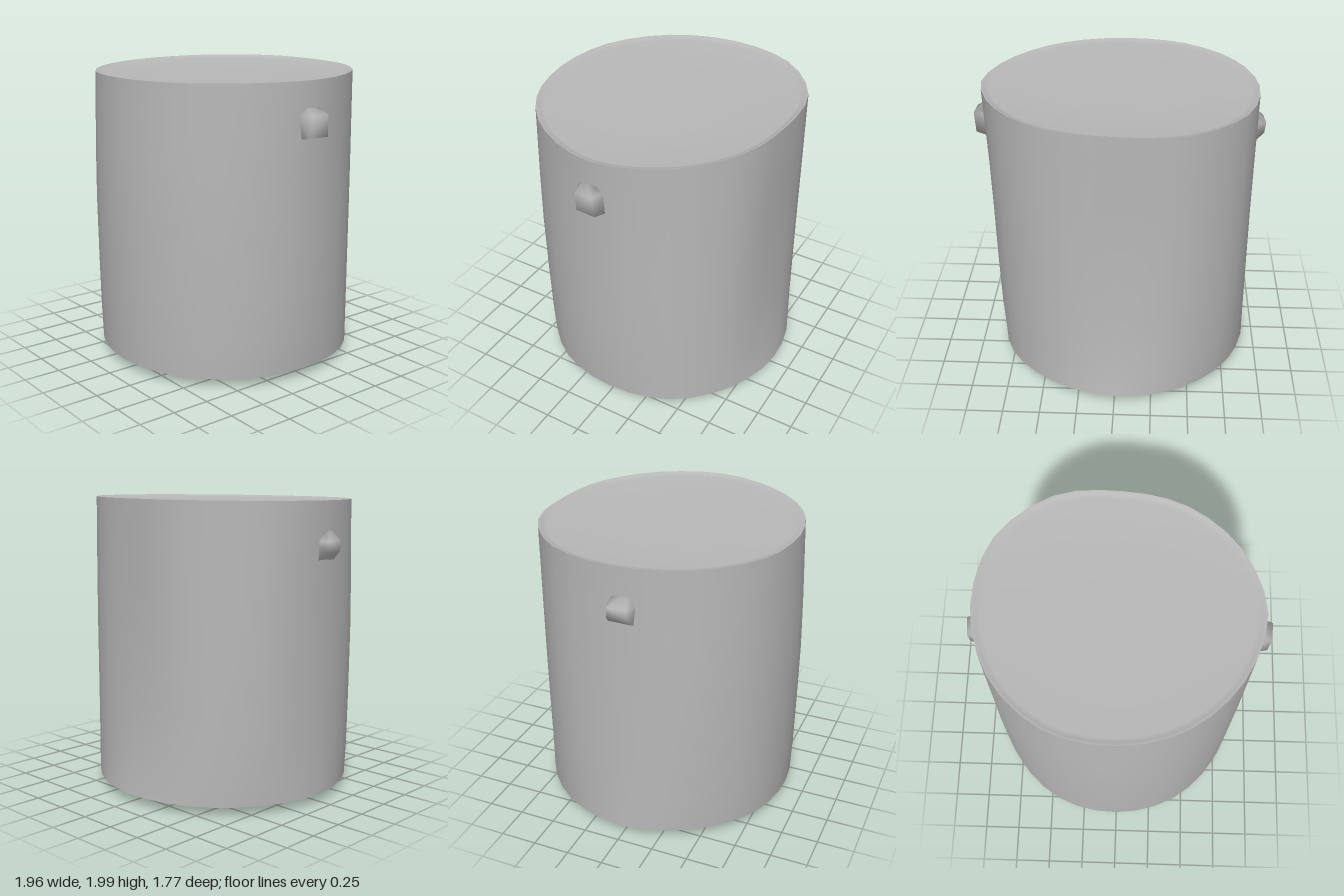
import * as THREE from 'three';
import { mergeVertices } from 'three/addons/utils/BufferGeometryUtils.js';
import { ConvexGeometry } from 'three/addons/geometries/ConvexGeometry.js';

const SIDES = 36;

// Uneven outlines: radius every 30 degrees, from the front (+z) round by +x
const FOOT = [0.87, 0.865, 0.86, 0.847, 0.865, 0.865, 0.885, 0.905, 0.918, 0.925, 0.898, 0.89];
const WAIST = [0.89, 0.885, 0.887, 0.882, 0.872, 0.852, 0.812, 0.9, 0.942, 0.91, 0.919, 0.908];
const RIM = [0.86, 0.865, 0.88, 0.913, 0.875, 0.84, 0.825, 0.9, 0.937, 0.92, 0.905, 0.89];

const mix = (a, b, t) => a.map((r, i) => r + (b[i] - r) * t);

// Smooth closed ring of points through an outline
function ring(outline, y, scale = 1, tilt = 0) {
  const curve = new THREE.CatmullRomCurve3(outline.map((r, i) => {
    const a = (i / outline.length) * Math.PI * 2;
    const z = r * scale * Math.cos(a);
    return new THREE.Vector3(r * scale * Math.sin(a), y + tilt * z, z);
  }), true, 'catmullrom');
  return Array.from({ length: SIDES }, (_, j) => curve.getPoint(j / SIDES));
}

// Skin over a stack of rings
function loft(rings) {
  const idx = [];
  for (let i = 0; i < rings.length - 1; i++) {
    for (let j = 0; j < SIDES; j++) {
      const k = (j + 1) % SIDES, p = i * SIDES, q = p + SIDES;
      idx.push(p + j, p + k, q + k, p + j, q + k, q + j);
    }
  }
  const geo = new THREE.BufferGeometry().setFromPoints(rings.flat());
  geo.setIndex(idx);
  geo.computeVertexNormals();
  return geo;
}

// Handle lug: rises from the wall, ending in a small outer face, softly shaded
function lug(side, wall, out, [low, outLow, outHigh, high]) {
  const hull = new ConvexGeometry([
    [wall, low, -0.07], [wall, low, 0.11], [wall, outHigh, -0.07], [wall, outHigh, 0.13],
    [wall, high, -0.02], [wall, high, 0.07],
    [out - 0.01, outLow, -0.04], [out - 0.02, outLow, 0.1],
    [out, outHigh, -0.03], [out - 0.01, outHigh, 0.09],
  ].map(([x, y, z]) => new THREE.Vector3(side * x, y, z)));
  hull.deleteAttribute('normal');
  const geo = mergeVertices(hull);
  geo.computeVertexNormals();
  return geo;
}

export function createModel() {
  const group = new THREE.Group();
  const grey = new THREE.MeshStandardMaterial({ color: 0xb8b8b8 });
  grey.name = 'grey metal';
  const add = (name, geo) => {
    const mesh = new THREE.Mesh(geo, grey);
    mesh.name = name;
    group.add(mesh);
  };

  // Dented wall
  const foot = ring(FOOT, 0.06);
  const rim = ring(RIM, 1.983, 1, -0.013);
  add('wall', loft([
    foot,
    ring(mix(FOOT, WAIST, 0.5), 0.3),
    ring(mix(FOOT, WAIST, 0.8), 0.65),
    ring(WAIST, 1.1),
    ring(mix(WAIST, RIM, 0.25), 1.45),
    ring(mix(WAIST, RIM, 0.75), 1.8),
    rim,
  ]));

  // Lid, slightly sunk inside its thin edge
  add('lid', loft([
    rim,
    ring(RIM, 1.98, 0.975, -0.013),
    ring(RIM, 1.962, 0.94, -0.008),
    ring(RIM, 1.957, 0.5),
    ring(RIM, 1.957, 0),
  ]));

  // Shallow domed base
  add('base', loft([
    ring(FOOT, 0, 0),
    ring(FOOT, 0.006, 0.35, -0.01),
    ring(FOOT, 0.026, 0.7, -0.01),
    ring(FOOT, 0.046, 0.92),
    foot,
  ]));

  add('leftLug', lug(1, 0.87, 0.975, [1.615, 1.63, 1.77, 1.83]));
  add('rightLug', lug(-1, 0.88, 0.98, [1.58, 1.66, 1.73, 1.82]));

  return group;
}
